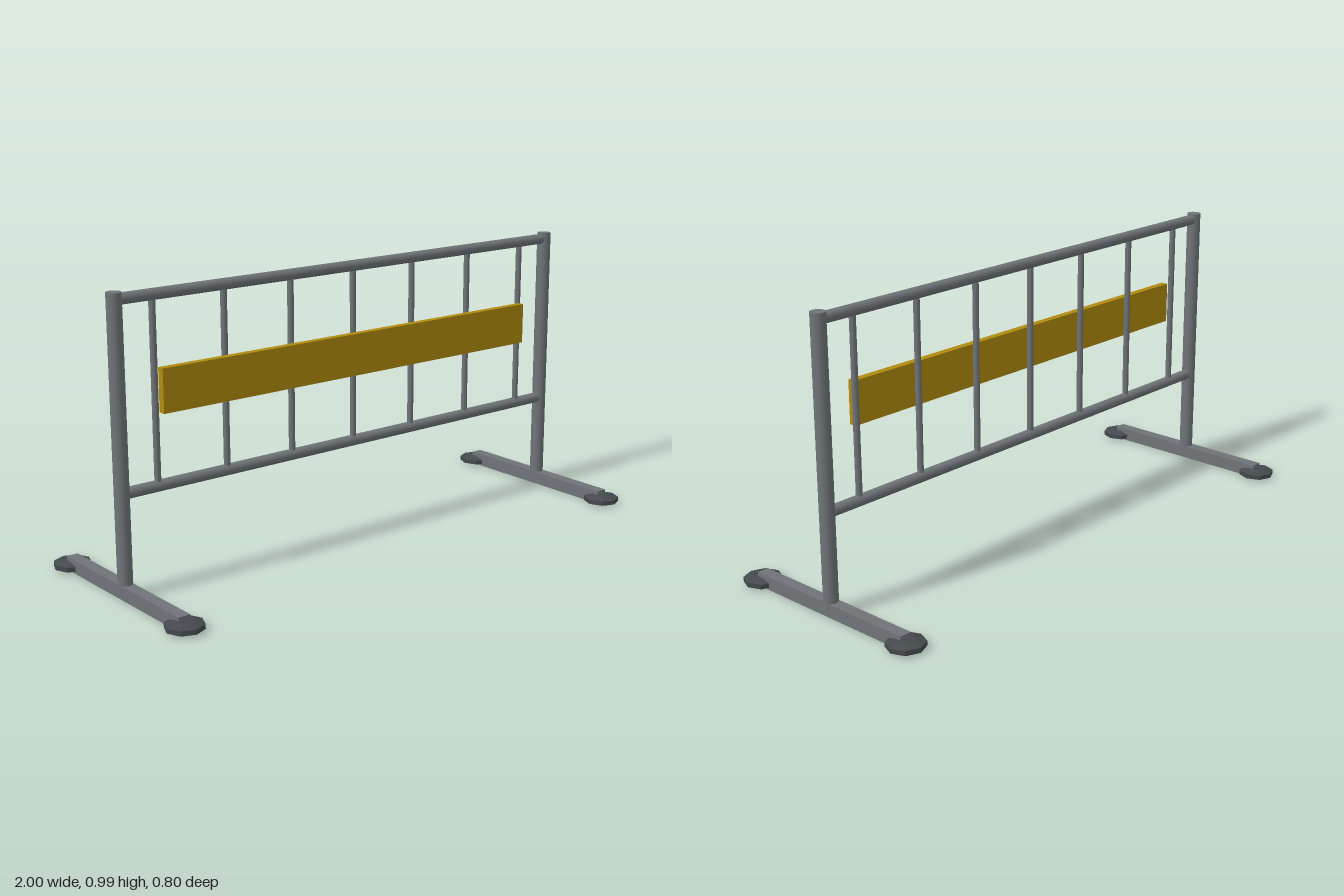
import * as THREE from 'three';

export function createModel() {
  const root = new THREE.Group();
  root.name = 'barrier';

  const steel = new THREE.MeshStandardMaterial({ color: 0x6f7478 });
  steel.name = 'steel grey';
  const rubber = new THREE.MeshStandardMaterial({ color: 0x44494d, flatShading: true, side: THREE.DoubleSide });
  rubber.name = 'dark rubber';
  const yellow = new THREE.MeshStandardMaterial({ color: 0xb08b10 });
  yellow.name = 'sign yellow';

  const add = (name, geometry, material, x, y, z) => {
    const mesh = new THREE.Mesh(geometry, material);
    mesh.name = name;
    mesh.position.set(x, y, z);
    root.add(mesh);
    return mesh;
  };

  // Octagonal foot pad with a bevelled top and a recessed underside
  const padProfile = [[0, 0.016], [0.045, 0.016], [0.05, 0.008], [0.064, 0.008], [0.064, 0.024], [0.032, 0.033], [0, 0.033]]
    .map(([r, y]) => new THREE.Vector2(r, y));
  const padGeometry = new THREE.LatheGeometry(padProfile, 8);

  // Each side: upright post, floor bar and two foot pads
  for (const [side, s] of [['left', 1], ['right', -1]]) {
    const x = s * 0.936;
    add(side + 'Post', new THREE.CylinderGeometry(0.025, 0.025, 0.965, 16), steel, x, 0.5025, 0);
    add(side + 'FloorBar', new THREE.BoxGeometry(0.042, 0.047, 0.672), steel, x, 0.0235, 0);
    for (const [end, e] of [['Front', 1], ['Back', -1]]) {
      add(side + end + 'Foot', padGeometry, rubber, x, 0, e * 0.336);
    }
  }

  // Horizontal rails
  for (const [name, y] of [['topRail', 0.962], ['bottomRail', 0.345]]) {
    const rail = add(name, new THREE.CylinderGeometry(0.019, 0.019, 1.85, 16), steel, 0, y, 0);
    rail.rotation.z = Math.PI / 2;
  }

  // Seven thin uprights between the rails
  const barGeometry = new THREE.CylinderGeometry(0.011, 0.011, 0.61, 12);
  for (let i = -3; i <= 3; i++) {
    add('upright' + (i + 4), barGeometry, steel, i * 0.2675, 0.6535, 0);
  }

  // Sign board on the front of the uprights
  add('signBoard', new THREE.BoxGeometry(1.59, 0.146, 0.026), yellow, 0, 0.66, 0.025);

  return root;
}
